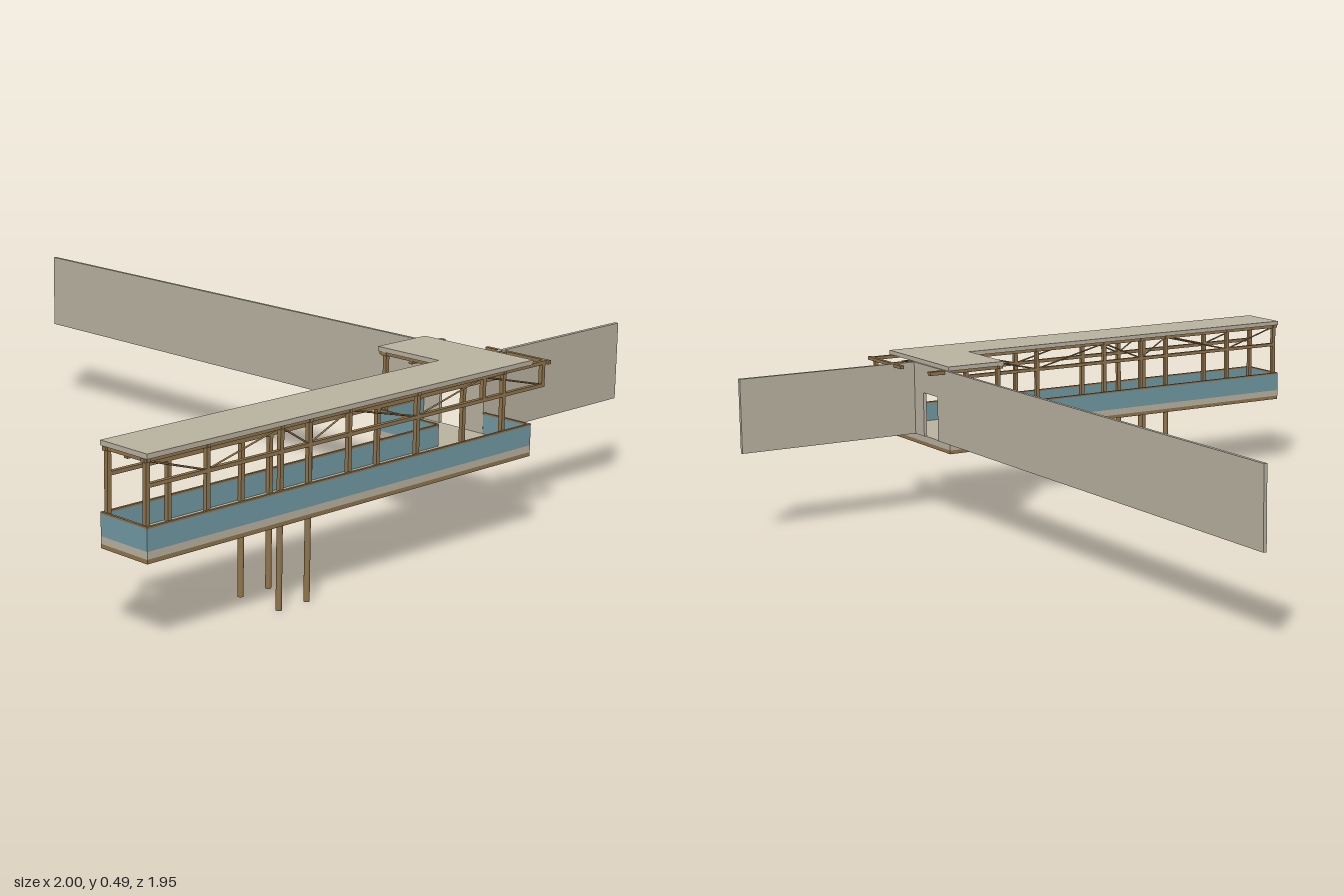
import * as THREE from 'three';

export function createModel() {
  const root = new THREE.Group();
  root.name = 'coveredWalkway';
  const mat = (name, color) => {
    const m = new THREE.MeshStandardMaterial({ color });
    m.name = name;
    return m;
  };
  const stone = mat('warmStone', 0xb9b2a0);
  const wood = mat('brownTimber', 0x8f744c);
  const blue = mat('greyBluePanel', 0x7099a3);

  // Box given by its two extreme corners
  const box = (name, m, x0, x1, y0, y1, z0, z1) => {
    const mesh = new THREE.Mesh(new THREE.BoxGeometry(x1 - x0, y1 - y0, z1 - z0), m);
    mesh.position.set((x0 + x1) / 2, (y0 + y1) / 2, (z0 + z1) / 2);
    mesh.name = name;
    root.add(mesh);
    return mesh;
  };
  // Slim round bar between two points
  const bar = (name, a, b, r, sides = 6) => {
    const p = new THREE.Vector3(...a), q = new THREE.Vector3(...b);
    const mesh = new THREE.Mesh(new THREE.CylinderGeometry(r, r, p.distanceTo(q), sides), wood);
    mesh.position.copy(p).add(q).multiplyScalar(0.5);
    mesh.quaternion.setFromUnitVectors(new THREE.Vector3(0, 1, 0), q.sub(p).normalize());
    mesh.name = name;
    root.add(mesh);
  };
  // L-shaped slab, outline drawn in x and -z
  const outline = [[0.615, -0.4], [1, -0.4], [1, 0.97], [0.835, 0.97], [0.835, -0.21], [0.615, -0.21]];
  const slab = (name, y0, y1) => {
    const shape = new THREE.Shape(outline.map(([x, z]) => new THREE.Vector2(x, -z)));
    const geo = new THREE.ExtrudeGeometry(shape, { depth: y1 - y0, bevelEnabled: false });
    geo.rotateX(-Math.PI / 2);
    const mesh = new THREE.Mesh(geo, stone);
    mesh.position.y = y0;
    mesh.name = name;
    root.add(mesh);
  };
  slab('floorSlab', 0.231, 0.25);
  slab('roofSlab', 0.472, 0.485);

  // Long wall with a doorway
  const wall = new THREE.Shape();
  [[-1, 0.25], [0.68, 0.25], [0.68, 0.385], [0.77, 0.385], [0.77, 0.25], [0.838, 0.25], [0.838, 0.472], [-1, 0.472]]
    .forEach(([x, y], i) => (i ? wall.lineTo(x, y) : wall.moveTo(x, y)));
  const longWall = new THREE.Mesh(new THREE.ExtrudeGeometry(wall, { depth: 0.01, bevelEnabled: false }), stone);
  longWall.position.z = -0.405;
  longWall.name = 'longWall';
  root.add(longWall);
  box('rearWall', stone, 0.826, 0.838, 0.25, 0.472, -0.975, -0.395);

  // Parapet panels, top rails and edge beams along the floor outline
  const t = 0.007;
  const edges = [
    [1 - t, 1, -0.4, 0.97], [0.835, 0.835 + t, -0.21, 0.97],
    [0.835, 1, 0.97 - t, 0.97], [0.615, 0.835, -0.21 - t, -0.21],
    [0.615, 0.615 + t, -0.395, -0.21], [0.84, 1, -0.4, -0.4 + t],
  ];
  for (const [x0, x1, z0, z1] of edges) {
    box('parapetPanel', blue, x0, x1, 0.25, 0.305, z0, z1);
    box('parapetRail', wood, x0, x1, 0.305, 0.31, z0, z1);
    box('floorEdgeBeam', wood, x0, x1, 0.22, 0.231, z0, z1);
  }
  box('floorEdgeBeam', wood, 0.615, 0.84, 0.22, 0.231, -0.4, -0.393);

  // Timber frames on both long sides
  const h = 0.006;
  const sides = [0.85, 0.986];
  const full = [0.96, 0.77, 0.527, 0.43, 0.29, 0.04, -0.295];
  const truss = [0.965, 0.77, 0.527, 0.43, 0.29, 0.04, -0.215, -0.455];
  for (const x of sides) {
    for (const z of full) box('post', wood, x - h, x + h, 0.25, 0.466, z - h, z + h);
    for (const z of [-0.215, -0.455]) box('hangerPost', wood, x - h, x + h, 0.4, 0.466, z - h, z + h);
    box('topBeam', wood, x - h, x + h, 0.462, 0.472, -0.475, 0.972);
    box('middleBeam', wood, x - h, x + h, 0.4, 0.41, -0.455, 0.965);
    for (let i = 0; i < truss.length - 1; i++) {
      const y = (k) => (k % 2 ? 0.406 : 0.466);
      bar('trussBrace', [x, y(i), truss[i]], [x, y(i + 1), truss[i + 1]], 0.0025);
    }
    for (const z of [0.527, 0.43]) bar('leg', [x, 0, z], [x, 0.235, z], 0.008, 12);
  }

  // Cross beams beneath the roof and joists beneath the floor
  for (const z of full) {
    box('roofCrossBeam', wood, 0.84, 0.995, 0.462, 0.471, z - 0.005, z + 0.005);
    box('floorJoist', wood, 0.838, 0.997, 0.222, 0.231, z - 0.005, z + 0.005);
  }
  box('rearCrossBeam', wood, 0.78, 1, 0.462, 0.472, -0.475, -0.463);
  box('roofCentreBeam', wood, 0.909, 0.921, 0.455, 0.463, -0.4, 0.96);

  // Frame of the side bay
  box('sideBayPost', wood, 0.629, 0.641, 0.25, 0.466, -0.228, -0.216);
  box('sideBayBeam', wood, 0.627, 0.643, 0.461, 0.472, -0.455, -0.212);
  box('sideBayFrontBeam', wood, 0.617, 0.85, 0.463, 0.472, -0.226, -0.214);
  box('sideBayCentreBeam', wood, 0.724, 0.736, 0.455, 0.466, -0.395, -0.215);
  for (const x of [0.69, 0.765]) box('sideBayJoist', wood, x - 0.005, x + 0.005, 0.222, 0.231, -0.393, -0.217);
  box('sideBayJoist', wood, 0.62, 0.84, 0.222, 0.231, -0.3, -0.29);

  return root;
}
